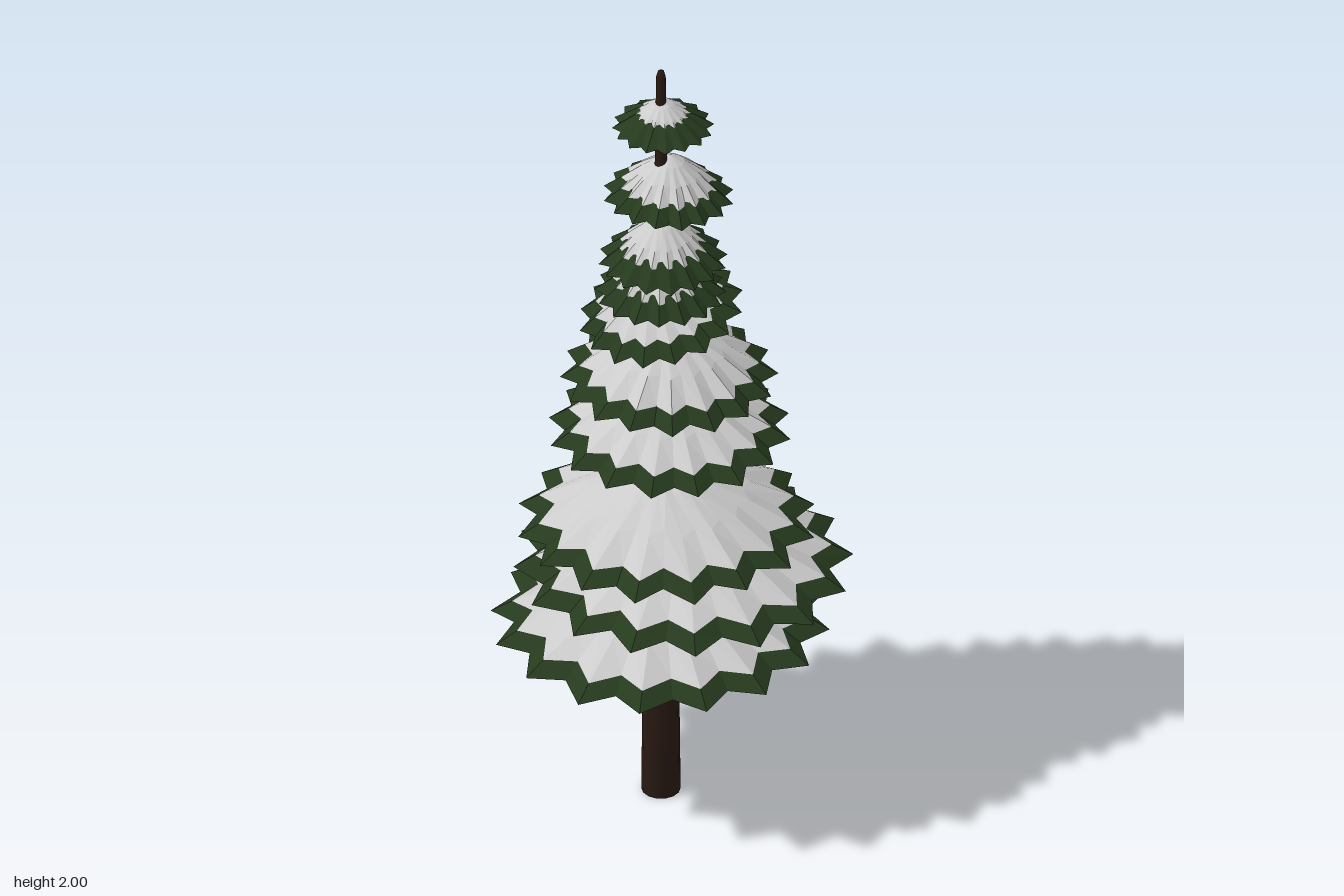
import * as THREE from 'three';

const TIPS = 16;
const bark = new THREE.MeshStandardMaterial({ color: 0x2a1a14 });
const needles = new THREE.MeshStandardMaterial({ color: 0x263a1e, flatShading: true, side: THREE.DoubleSide });
const snow = new THREE.MeshStandardMaterial({ color: 0xcccccc, flatShading: true });

// centre x, centre z, radius, rim height, apex height, turn, sideways tilt
const TIERS = [
  [-0.03, -0.01, 0.39, 0.47, 0.63, 0.00, 0],
  [0.03, 0.00, 0.39, 0.61, 0.77, 0.20, 0],
  [-0.02, 0.00, 0.345, 0.75, 0.905, 0.10, 0],
  [0.01, -0.025, 0.28, 0.975, 1.115, 0.05, 0],
  [0.00, -0.015, 0.25, 1.135, 1.285, 0.25, 0],
  [-0.015, -0.025, 0.192, 1.315, 1.415, 0.12, 0.23],
  [-0.025, -0.015, 0.151, 1.38, 1.50, 0.30, 0],
  [-0.03, 0.00, 0.149, 1.48, 1.60, 0.16, 0],
  [-0.01, -0.005, 0.151, 1.645, 1.757, 0.08, -0.05],
  [-0.022, -0.01, 0.117, 1.84, 1.915, 0.22, 0],
];

function seeded(seed) {
  return () => {
    seed = (seed * 16807) % 2147483647;
    return seed / 2147483647;
  };
}

// Joins star-shaped rings, listed from the inside out, into a pleated surface
function pleatedSurface(rings, faceDown = false) {
  const position = [], index = [], n = TIPS * 2;
  rings.forEach(ring => ring.forEach(p => position.push(p.x, p.y, p.z)));
  for (let r = 0; r < rings.length - 1; r++) {
    for (let i = 0; i < n; i++) {
      const a = r * n + i, b = r * n + (i + 1) % n, c = a + n, d = b + n;
      if (faceDown) index.push(a, c, b, b, c, d);
      else index.push(a, b, c, b, d, c);
    }
  }
  const geometry = new THREE.BufferGeometry();
  geometry.setAttribute('position', new THREE.Float32BufferAttribute(position, 3));
  geometry.setIndex(index);
  geometry.computeVertexNormals();
  return geometry;
}

function createTier([x, z, radius, rimY, apexY, turn, tilt], number) {
  const tier = new THREE.Group();
  tier.name = `branchTier${number + 1}`;
  const random = seeded(101 + number * 37);
  const jitter = Array.from({ length: TIPS * 2 }, () => random() - 0.5);
  const height = apexY - rimY;
  const lip = 0.032 + 0.045 * radius;
  const lipDrop = Math.min(0.03, height * 0.28);

  // Odd points are the notches between tips; pleats grow towards the rim
  const ring = (size, y, pleat) => jitter.map((j, i) => {
    const angle = turn + (i + j * 0.12) * Math.PI / TIPS;
    const notch = i % 2;
    const r = size * (1 - pleat * (notch ? 0.14 : 0));
    const lift = pleat * radius * (notch ? 0.02 : 0) + pleat * radius * j * 0.03;
    return new THREE.Vector3(Math.cos(angle) * r, y + lift, Math.sin(angle) * r);
  });

  // Domed snow cover
  const snowRings = [0.001, 0.3, 0.65, 1].map(t =>
    ring((radius - lip) * t, height - (height - lipDrop) * t ** 1.25, t));
  const snowCover = new THREE.Mesh(pleatedSurface(snowRings), snow);
  snowCover.name = 'snowCover';

  // Green edge showing below the snow, and the ribbed underside
  const rim = ring(radius, 0, 1);
  const edge = new THREE.Mesh(pleatedSurface([snowRings.at(-1), rim]), needles);
  edge.name = 'needleEdge';
  const under = new THREE.Mesh(pleatedSurface([
    ring(0.001, height * 0.88, 0),
    ring(radius * 0.5, height * 0.5, 0.5),
    rim,
  ], true), needles);
  under.name = 'needleUnderside';

  tier.add(snowCover, edge, under);
  tier.position.set(x, rimY, z);
  tier.rotation.z = tilt;
  return tier;
}

export function createModel() {
  const tree = new THREE.Group();
  tree.name = 'snowyTree';

  // Tapering trunk with a rounded tip
  const profile = [
    [0, 0], [0.045, 0], [0.041, 0.4], [0.03, 0.95], [0.02, 1.4],
    [0.014, 1.75], [0.011, 1.98], [0.007, 1.995], [0, 2],
  ].map(([r, y]) => new THREE.Vector2(r, y));
  const trunk = new THREE.Mesh(new THREE.LatheGeometry(profile, 14), bark);
  trunk.name = 'trunk';
  trunk.position.set(-0.028, 0, -0.01);
  tree.add(trunk);

  TIERS.forEach((tier, i) => tree.add(createTier(tier, i)));
  return tree;
}
